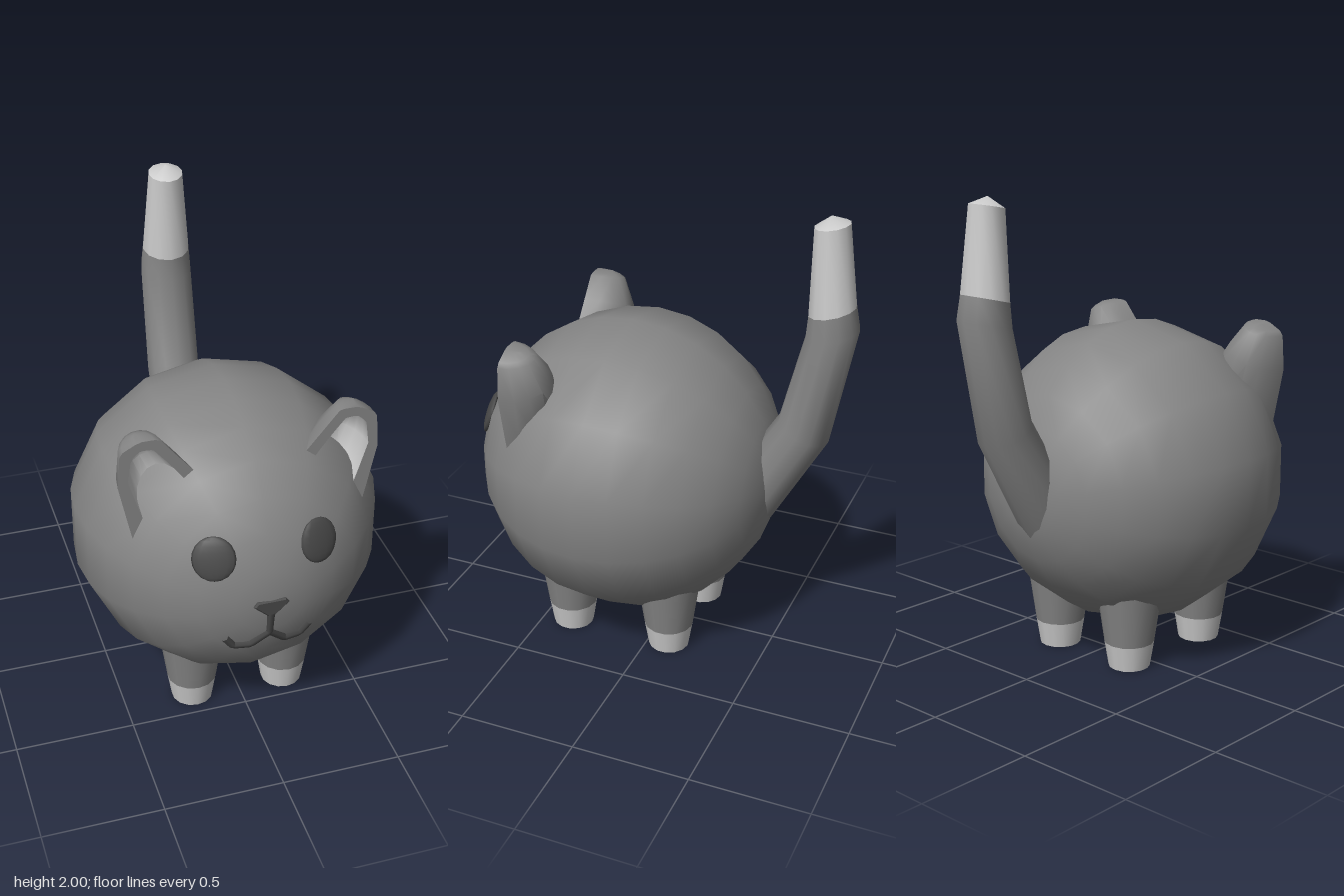
import * as THREE from 'three';
import { toCreasedNormals } from 'three/addons/utils/BufferGeometryUtils.js';

const FUR = 0x858585, PALE = 0xcccccc, DARK = 0x484848;
const CENTER = new THREE.Vector3(0, 0.7775, 0.155), RADIUS = 0.6475;

function part(name, geometry, color, side = THREE.FrontSide) {
  const mesh = new THREE.Mesh(geometry, new THREE.MeshStandardMaterial({ color, side }));
  mesh.name = name;
  return mesh;
}

// Skin a list of equally long cross-sections
function loft(rings) {
  const pos = [], index = [], n = rings[0].length;
  for (const ring of rings) for (const p of ring) pos.push(p.x, p.y, p.z);
  for (let i = 0; i < rings.length - 1; i++) {
    for (let j = 0; j < n - 1; j++) {
      const a = i * n + j, d = a + n;
      index.push(a, a + 1, d, a + 1, d + 1, d);
    }
  }
  const geo = new THREE.BufferGeometry();
  geo.setAttribute('position', new THREE.Float32BufferAttribute(pos, 3));
  geo.setIndex(index);
  return toCreasedNormals(geo, 0.75);
}

// Point on the front of the round body
function onBody(x, y, lift = 0) {
  const dy = y - CENTER.y;
  return new THREE.Vector3(x, y, CENTER.z + Math.sqrt(RADIUS ** 2 - x * x - dy * dy) + lift);
}

// Tail ring: front edge (z, y), back edge (z, y), half width in x
function tailRing([fz, fy, bz, by, w]) {
  return Array.from({ length: 13 }, (_, j) => {
    const t = (j / 12) * Math.PI * 2, s = Math.sin(t) / 2;
    return new THREE.Vector3(w * Math.cos(t), (fy + by) / 2 + (by - fy) * s, (fz + bz) / 2 + (bz - fz) * s);
  });
}

// Ear section: inner edge (x, y), outer edge (x, y), depth of the half ellipse behind them
function earRing([lx, ly, rx, ry, d]) {
  return Array.from({ length: 9 }, (_, j) => {
    const t = (j / 8) * Math.PI, c = Math.cos(t) / 2;
    return new THREE.Vector3((lx + rx) / 2 + (rx - lx) * c, (ly + ry) / 2 + (ry - ly) * c, 0.513 - d * Math.sin(t));
  });
}

// Front contour of an ear, up the inner edge and down the outer edge
function earContour(sections) {
  const left = sections.map(s => new THREE.Vector3(s[0], s[1], 0.513));
  const right = sections.map(s => new THREE.Vector3(s[2], s[3], 0.513));
  return [...left, ...right.reverse()];
}

function makeEar() {
  const ear = new THREE.Group();
  const outer = [
    [0.18, 1.19, 0.465, 0.93, 0.14], [0.22, 1.25, 0.487, 1.03, 0.165], [0.29, 1.335, 0.528, 1.23, 0.178],
    [0.36, 1.42, 0.518, 1.37, 0.125], [0.38, 1.425, 0.505, 1.39, 0.1], [0.43, 1.425, 0.455, 1.417, 0.07],
    [0.43, 1.425, 0.455, 1.417, 0],
  ];
  const inner = [
    [0.24, 1.19, 0.42, 1.03, 0.11], [0.285, 1.255, 0.452, 1.13, 0.12], [0.335, 1.32, 0.488, 1.25, 0.125],
    [0.385, 1.38, 0.475, 1.345, 0.08], [0.395, 1.383, 0.465, 1.36, 0.06], [0.425, 1.385, 0.44, 1.382, 0.03],
    [0.425, 1.385, 0.44, 1.382, 0],
  ];
  ear.add(part('earShell', loft(outer.map(earRing)), FUR, THREE.DoubleSide));
  ear.add(part('earLining', loft(inner.map(s => earRing(s).reverse())), PALE, THREE.DoubleSide));
  ear.add(part('earRim', loft([earContour(inner), earContour(outer)]), FUR, THREE.DoubleSide));
  return ear;
}

export function createModel() {
  const cat = new THREE.Group();
  cat.name = 'cat';

  // Round body with its poles facing front and back
  const bodyGeo = new THREE.SphereGeometry(RADIUS, 14, 14).rotateX(Math.PI / 2);
  const body = part('body', bodyGeo, FUR);
  // Put a corner of the 14-sided outline at the very top
  body.rotation.z = Math.PI / 2;
  body.position.copy(CENTER);
  cat.add(body);

  for (const side of [1, -1]) {
    const label = side > 0 ? 'left' : 'right';

    // Tapered legs with pale socks
    for (const [end, z] of [['Front', 0.37], ['Back', -0.09]]) {
      const leg = new THREE.Group();
      leg.name = label + end + 'Leg';
      leg.position.set(side * 0.203, 0, z);
      const sock = part('sock', new THREE.CylinderGeometry(0.106, 0.088, 0.11, 14), PALE);
      sock.position.y = 0.055;
      const upper = part('upperLeg', new THREE.CylinderGeometry(0.15, 0.106, 0.31, 14), FUR);
      upper.position.y = 0.265;
      leg.add(sock, upper);
      cat.add(leg);
    }

    // Cupped ears
    const ear = makeEar();
    ear.name = label + 'Ear';
    ear.scale.x = side;
    cat.add(ear);

    // Flattened oval eyes lying on the body
    const eye = part(label + 'Eye', new THREE.SphereGeometry(0.087, 14, 10), DARK);
    const normal = onBody(side * 0.215, 0.985).sub(CENTER).normalize();
    eye.position.copy(CENTER).addScaledVector(normal, RADIUS - 0.006);
    eye.quaternion.setFromUnitVectors(new THREE.Vector3(0, 0, 1), normal);
    eye.scale.set(1, 1.05, 0.24);
    cat.add(eye);

    // Half of the mouth, from below the nose to the upturned corner
    const points = [[0, 0.73], [0, 0.622], [0.07, 0.555], [0.14, 0.555], [0.175, 0.605]]
      .map(([x, y]) => onBody(side * x, y, -0.008));
    const path = new THREE.CurvePath();
    for (let i = 0; i < points.length - 1; i++) path.add(new THREE.LineCurve3(points[i], points[i + 1]));
    cat.add(part(label + 'Mouth', new THREE.TubeGeometry(path, 24, 0.019, 6), DARK, THREE.DoubleSide));
  }

  // Small triangular nose
  const noseShape = new THREE.Shape([[-0.055, 0.785], [-0.065, 0.77], [-0.012, 0.722], [0.012, 0.722], [0.065, 0.77], [0.055, 0.785]]
    .map(p => new THREE.Vector2(...p)));
  const noseGeo = new THREE.ExtrudeGeometry(noseShape, {
    depth: 0.04, bevelSize: 0.006, bevelThickness: 0.006, bevelSegments: 1,
  }).translate(0, 0, 0.76);
  cat.add(part('nose', noseGeo, DARK));

  // Upright bent tail with a pale tip
  const bend = [-0.597, 1.59, -0.786, 1.637, 0.102];
  const tail = [[-0.21, 0.66, -0.43, 0.54, 0.128], [-0.495, 1.12, -0.705, 1.03, 0.116], [-0.588, 1.49, -0.805, 1.54, 0.111], bend];
  const tip = [bend, [-0.603, 1.95, -0.745, 1.977, 0.073], [-0.668, 2, -0.672, 2, 0.002], [-0.67, 2, -0.67, 2, 0]];
  cat.add(part('tail', loft(tail.map(tailRing)), FUR));
  cat.add(part('tailTip', loft(tip.map(tailRing)), PALE));

  return cat;
}
